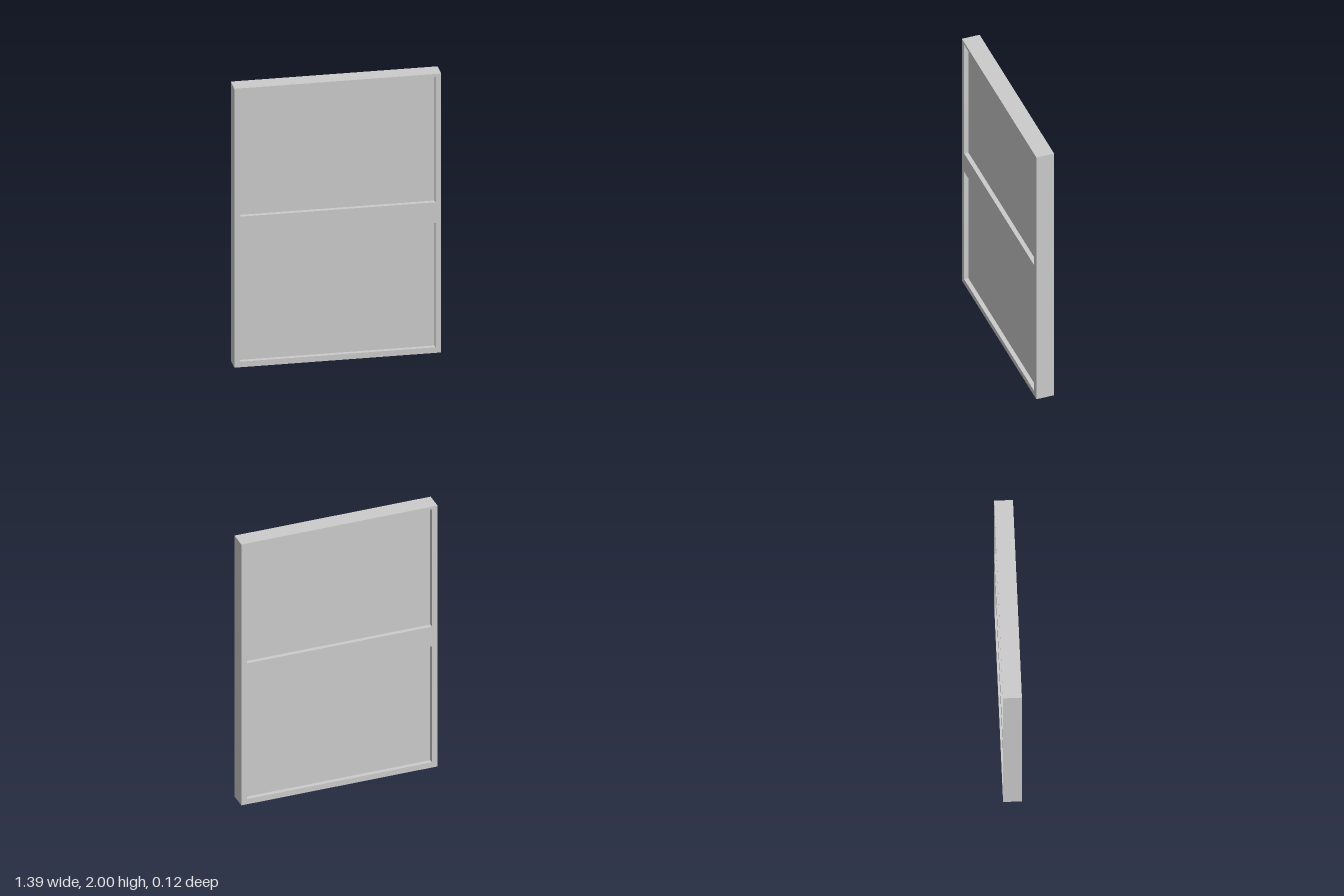
import * as THREE from 'three';

const W = 1.39, H = 2, D = 0.125;      // overall frame size
const OPEN_X = 0.655;                  // half width of both openings
const OPENINGS = [
  { name: 'lowerPane', y0: 0.04, y1: 0.93 },
  { name: 'upperPane', y0: 1.08, y1: 1.98 },
];
const PANE_DEPTH = 0.064;

function rect(Type, x0, y0, x1, y1) {
  const r = new Type();
  r.moveTo(x0, y0);
  r.lineTo(x1, y0);
  r.lineTo(x1, y1);
  r.lineTo(x0, y1);
  r.closePath();
  return r;
}

export function createModel() {
  const group = new THREE.Group();
  group.name = 'window';
  const material = new THREE.MeshStandardMaterial({ color: 0xcccccc });

  // Frame with its middle rail, cut through by two openings
  const outline = rect(THREE.Shape, -W / 2, 0, W / 2, H);
  for (const o of OPENINGS) outline.holes.push(rect(THREE.Path, -OPEN_X, o.y0, OPEN_X, o.y1));
  const frameGeometry = new THREE.ExtrudeGeometry(outline, { depth: D, bevelEnabled: false });
  frameGeometry.translate(0, 0, -D / 2);
  const frame = new THREE.Mesh(frameGeometry, material);
  frame.name = 'frame';
  group.add(frame);

  // Panes, recessed equally on both sides
  for (const o of OPENINGS) {
    const pane = new THREE.Mesh(new THREE.BoxGeometry(OPEN_X * 2, o.y1 - o.y0, PANE_DEPTH), material);
    pane.position.y = (o.y0 + o.y1) / 2;
    pane.name = o.name;
    group.add(pane);
  }
  return group;
}
